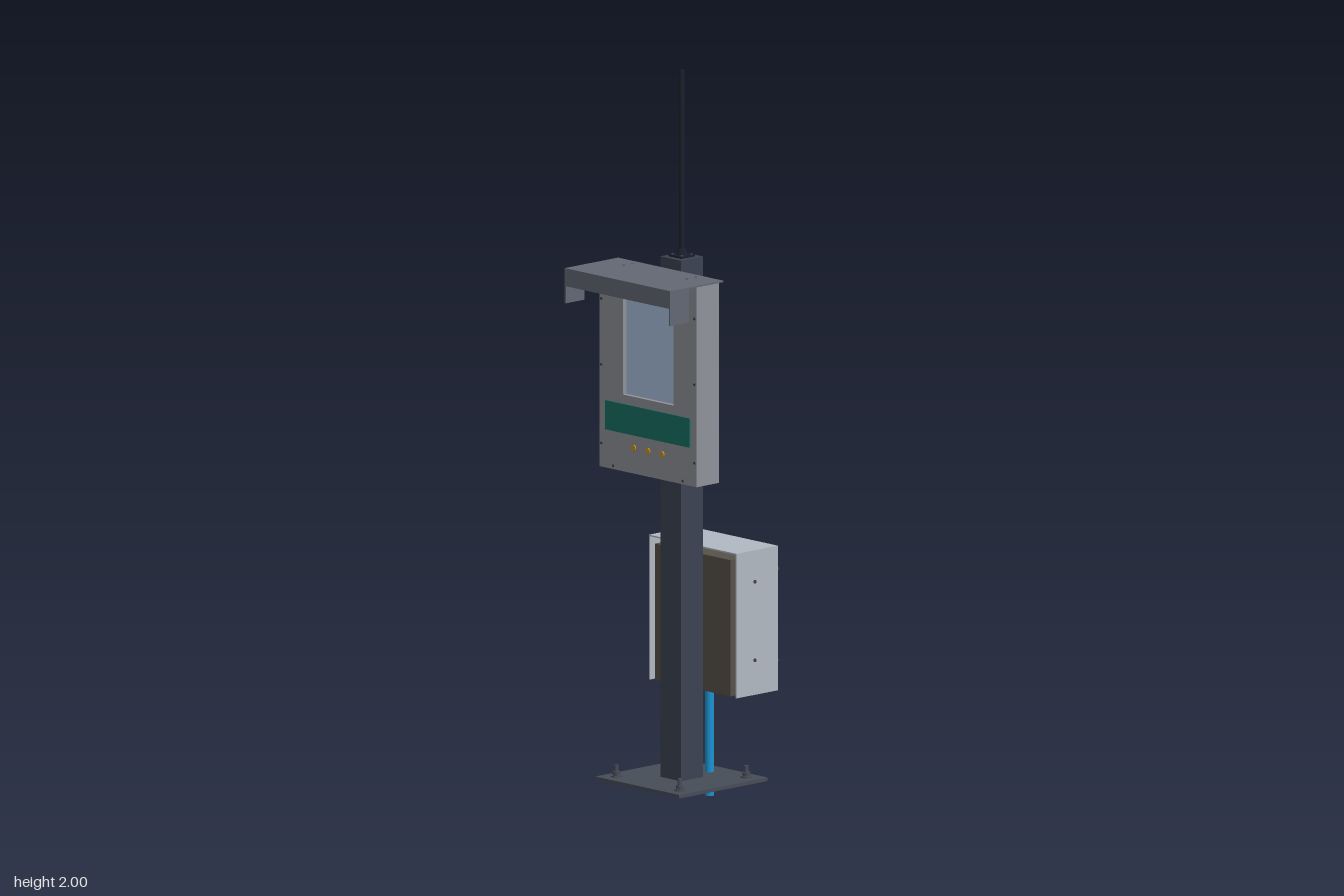
import * as THREE from 'three';

const mat = (color) => new THREE.MeshStandardMaterial({ color });
const M = {
  post: mat(0x3b4252), dark: mat(0x1a202c), plate: mat(0x474d58), hood: mat(0x636873),
  cabinet: mat(0x8f9299), shell: mat(0xb0b9c2), inner: mat(0x57524a), screen: mat(0xa9c0de),
  green: mat(0x176f63), amber: mat(0xc09030), blue: mat(0x1c94d2), slot: mat(0x3f4246),
};

export function createModel() {
  const root = new THREE.Group();
  const part = (name) => {
    const g = new THREE.Group();
    g.name = name;
    root.add(g);
    return g;
  };
  const add = (parent, name, geo, m, x = 0, y = 0, z = 0) => {
    const mesh = new THREE.Mesh(geo, m);
    mesh.name = name;
    mesh.position.set(x, y, z);
    parent.add(mesh);
    return mesh;
  };
  // Box given by its lower and upper limits
  const box = (parent, name, m, x0, x1, y0, y1, z0, z1) =>
    add(parent, name, new THREE.BoxGeometry(x1 - x0, y1 - y0, z1 - z0), m,
      (x0 + x1) / 2, (y0 + y1) / 2, (z0 + z1) / 2);
  // Cylinder along the chosen axis
  const rod = (parent, name, m, r, len, x, y, z, axis = 'y', sides = 16) => {
    const geo = new THREE.CylinderGeometry(r, r, len, sides);
    if (axis === 'x') geo.rotateZ(Math.PI / 2);
    if (axis === 'z') geo.rotateX(Math.PI / 2);
    return add(parent, name, geo, m, x, y, z);
  };

  // Base plate with anchor bolts
  const base = part('base');
  box(base, 'basePlate', M.plate, -0.163, 0.163, 0.055, 0.065, -0.181, 0.145);
  for (const x of [-0.123, 0.123]) for (const z of [-0.141, 0.105]) {
    rod(base, 'washer', M.plate, 0.015, 0.004, x, 0.067, z);
    rod(base, 'anchorNut', M.plate, 0.011, 0.012, x, 0.074, z, 'y', 6);
    rod(base, 'anchorBolt', M.plate, 0.006, 0.035, x, 0.08, z);
  }

  // Square post and antenna
  const mast = part('mast');
  box(mast, 'post', M.post, -0.04, 0.04, 0.065, 1.49, -0.06, 0.021);
  box(mast, 'antennaPlate', M.dark, -0.025, 0.025, 1.49, 1.495, -0.045, 0.005);
  for (const x of [-0.018, 0.018]) for (const z of [-0.038, -0.002])
    rod(mast, 'plateScrew', M.plate, 0.003, 0.004, x, 1.496, z, 'y', 8);
  add(mast, 'antennaFoot', new THREE.CylinderGeometry(0.009, 0.016, 0.018, 20), M.dark, 0, 1.504, -0.02);
  rod(mast, 'antenna', M.dark, 0.0075, 0.495, 0, 1.7525, -0.02);

  // Display cabinet: body behind a front panel with a window opening
  const display = part('displayCabinet');
  box(display, 'cabinetBody', M.cabinet, -0.188, 0.188, 0.905, 1.457, 0.021, 0.09);
  const rect = (P, x0, x1, y0, y1) => new P().moveTo(x0, y0).lineTo(x1, y0).lineTo(x1, y1).lineTo(x0, y1).closePath();
  const face = rect(THREE.Shape, -0.188, 0.188, 0.905, 1.457);
  face.holes.push(rect(THREE.Path, -0.098, 0.098, 1.115, 1.38));
  add(display, 'frontPanel', new THREE.ExtrudeGeometry(face, { depth: 0.015, bevelEnabled: false }), M.cabinet, 0, 0, 0.09);
  box(display, 'screen', M.screen, -0.098, 0.098, 1.115, 1.38, 0.088, 0.092);
  box(display, 'greenPanel', M.green, -0.165, 0.165, 1.01, 1.09, 0.104, 0.108);
  for (const x of [-0.055, 0, 0.055]) rod(display, 'button', M.amber, 0.009, 0.005, x, 0.975, 0.106, 'z');
  for (const s of [-1, 1]) {
    for (const y of [0.97, 1.185, 1.365]) rod(display, 'panelScrew', M.slot, 0.004, 0.002, s * 0.181, y, 0.1055, 'z', 10);
    rod(display, 'lowerScrew', M.slot, 0.004, 0.002, s * 0.135, 0.914, 0.1055, 'z', 10);
  }
  for (let i = 0; i < 4; i++) {
    const x = -0.105 + i * 0.07;
    box(display, 'bottomVent', M.shell, x - 0.02, x + 0.02, 0.904, 0.906, 0.042, 0.082);
  }

  // Rain hood: roof, front lip and side flaps
  const hood = part('rainHood');
  box(hood, 'hoodRoof', M.hood, -0.205, 0.205, 1.457, 1.461, 0.021, 0.218);
  box(hood, 'hoodLip', M.hood, -0.205, 0.205, 1.412, 1.457, 0.214, 0.218);
  for (const s of [-1, 1]) {
    box(hood, 'hoodFlap', M.hood, s * 0.203 - 0.002, s * 0.203 + 0.002, 1.365, 1.457, 0.148, 0.218);
    for (const z of [0.045, 0.078]) rod(hood, 'hoodRivet', M.plate, 0.0035, 0.002, s * 0.123, 1.4612, z, 'y', 10);
  }

  // Rear equipment box inside a cover open at the front and bottom
  const rear = part('rearBox');
  box(rear, 'innerBox', M.inner, -0.147, 0.147, 0.302, 0.675, -0.192, -0.06);
  box(rear, 'coverTop', M.shell, -0.17, 0.17, 0.692, 0.696, -0.213, -0.06);
  box(rear, 'coverBack', M.shell, -0.17, 0.17, 0.3, 0.692, -0.213, -0.209);
  for (const s of [-1, 1]) {
    box(rear, 'coverSide', M.shell, s * 0.168 - 0.002, s * 0.168 + 0.002, 0.3, 0.692, -0.209, -0.06);
    for (const y of [0.395, 0.61]) rod(rear, 'sideScrew', M.slot, 0.005, 0.028, s * 0.159, y, -0.127, 'x', 10);
    for (const y of [0.38, 0.63]) rod(rear, 'backScrew', M.slot, 0.005, 0.01, s * 0.162, y, -0.216, 'z', 10);
    for (const x of [0.034, 0.1])
      box(rear, 'backVent', M.slot, s * x - 0.024, s * x + 0.024, 0.642, 0.656, -0.2138, -0.21);
  }

  // Supply cable from the ground into the rear box
  rod(part('supply'), 'cable', M.blue, 0.012, 0.31, 0, 0.155, -0.122);
  return root;
}
